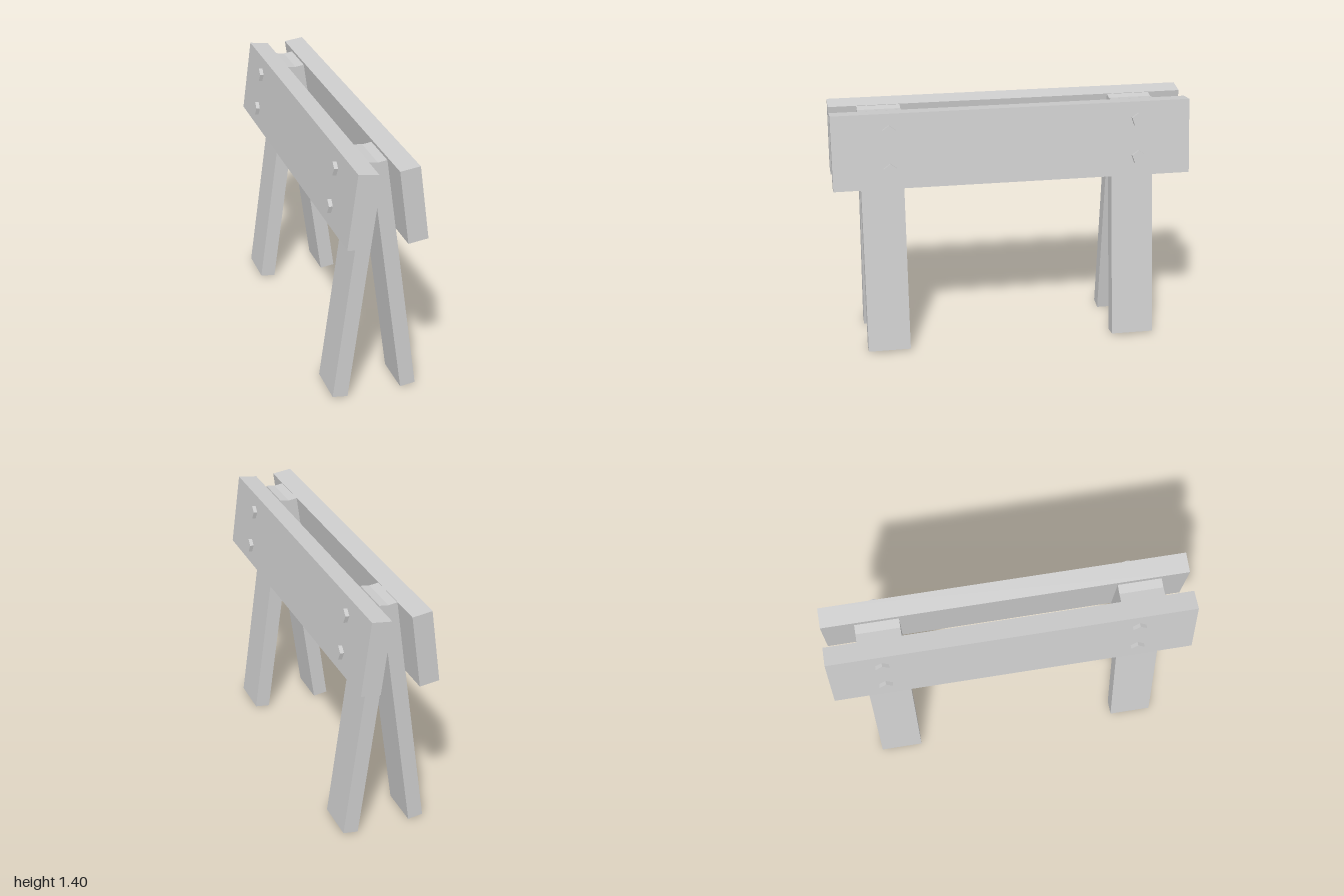
import * as THREE from 'three';

const material = new THREE.MeshStandardMaterial({ color: 0xcccccc, flatShading: true });

function addMesh(parent, name, geometry, x, y, z) {
  const mesh = new THREE.Mesh(geometry, material);
  mesh.name = name;
  mesh.position.set(x, y, z);
  parent.add(mesh);
  return mesh;
}

export function createModel() {
  const model = new THREE.Group();
  model.name = 'sawhorse';

  const boardThickness = 0.111;
  const boardGeometry = new THREE.BoxGeometry(boardThickness, 0.418, 2);
  const legGeometry = new THREE.BoxGeometry(0.086, 1.388, 0.24);

  // Five-sided bolt head, axis along x, one corner up
  const boltGeometry = new THREE.CylinderGeometry(0.039, 0.039, 0.044, 5);
  boltGeometry.rotateY(Math.PI / 2).rotateZ(Math.PI / 2);

  for (const side of [-1, 1]) {
    const label = side > 0 ? 'left' : 'right';

    // Side board with its bolts, leaning inward at the top
    const boardGroup = new THREE.Group();
    boardGroup.name = label + 'BoardAssembly';
    boardGroup.position.set(side * 0.1375 + 0.005, 1.19, 0);
    boardGroup.rotation.z = side * 0.132;
    addMesh(boardGroup, label + 'Board', boardGeometry, 0, 0, 0);
    for (const z of [0.685, -0.705]) {
      for (const y of [0.108, -0.105]) {
        addMesh(boardGroup, 'bolt', boltGeometry, side * boardThickness / 2, y, z);
      }
    }
    model.add(boardGroup);

    // Splayed legs, crossing at the top between the boards
    for (const [end, z] of [['Front', 0.723], ['Back', -0.699]]) {
      const leg = addMesh(model, label + end + 'Leg', legGeometry, side * 0.102, 0.694, z);
      leg.rotation.z = side * 0.136;
    }
  }
  return model;
}
